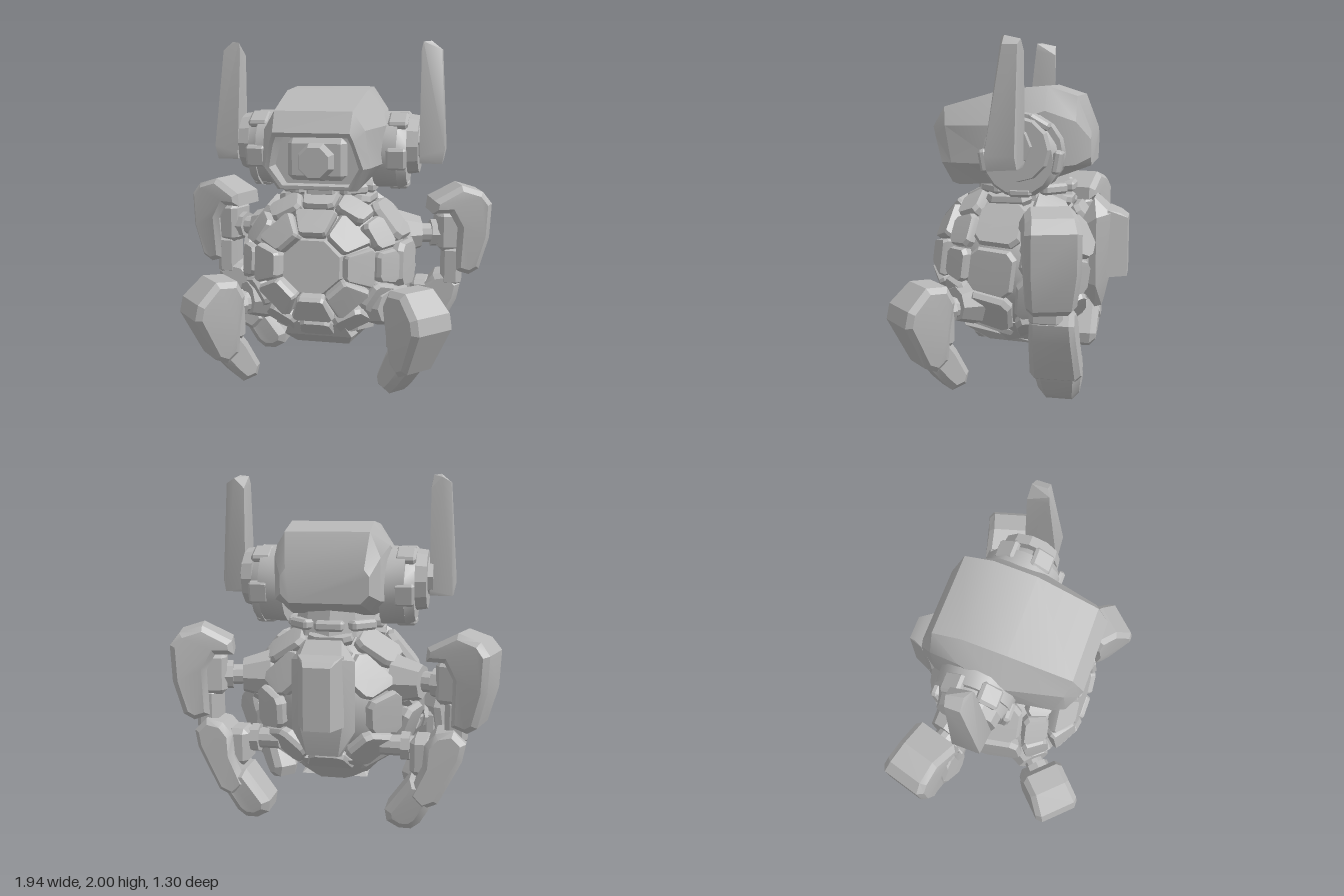
import * as THREE from 'three';
import { toCreasedNormals } from 'three/addons/utils/BufferGeometryUtils.js';
import { ConvexGeometry } from 'three/addons/geometries/ConvexGeometry.js';

const V = (x, y, z) => new THREE.Vector3(x, y, z);
const rad = THREE.MathUtils.degToRad;
const hull = pts => new ConvexGeometry(pts.map(p => V(...p)));

// Box with chamfered ends on every axis
function block(x, y, z, w, h, d, c = 0.015) {
  const pts = [];
  for (const i of [-1, 1]) for (const j of [-1, 1]) for (const k of [-1, 1]) {
    const a = i * w / 2, b = j * h / 2, e = k * d / 2;
    pts.push([x + a - i * c, y + b - j * c, z + e], [x + a, y + b - j * c, z + e - k * c], [x + a - i * c, y + b, z + e - k * c]);
  }
  return hull(pts);
}

// Profile in x,y given thickness along z, with bevelled rims
function plate(profile, depth, bevel) {
  const shape = new THREE.Shape(profile.map(p => new THREE.Vector2(...p)));
  const g = new THREE.ExtrudeGeometry(shape, {
    depth: depth - 2 * bevel, bevelEnabled: true, bevelSize: bevel,
    bevelOffset: -bevel, bevelThickness: bevel, bevelSegments: 1,
  });
  return g.translate(0, 0, bevel - depth / 2);
}

// Narrows a plate in z by height, from [y, scale] stops in rising order
function taper(geo, stops) {
  const p = geo.attributes.position;
  for (let i = 0; i < p.count; i++) {
    const y = p.getY(i);
    const n = Math.max(1, stops.findIndex(s => s[0] >= y));
    const [[y0, s0], [y1, s1]] = [stops[n - 1], stops[n]];
    p.setZ(i, p.getZ(i) * THREE.MathUtils.mapLinear(y, y0, y1, s0, s1));
  }
  return geo;
}

// Cylinder lying along x from x0 to x1
const rod = (x0, x1, y, z, r0, r1, n) =>
  new THREE.CylinderGeometry(r1, r0, x1 - x0, n).rotateZ(-Math.PI / 2).translate((x0 + x1) / 2, y, z);

// Skin through symmetric eight-point sections running back to front
function loft(sections) {
  const rings = sections.map(([z, k, yT, wT, yS, wS, yL, wL, yB, wB]) =>
    [[wB, yB], [wL, yL], [wS, yS], [wT, yT], [-wT, yT], [-wS, yS], [-wL, yL], [-wB, yB]]
      .map(([x, y]) => [x, y, z + k * (y - 1.5)]));
  const pos = [], tri = (...p) => p.forEach(q => pos.push(...q));
  for (let s = 0; s < rings.length - 1; s++) for (let i = 0; i < 8; i++) {
    const j = (i + 1) % 8, a = rings[s], b = rings[s + 1];
    tri(a[i], a[j], b[j]);
    tri(a[i], b[j], b[i]);
  }
  const first = rings[0], last = rings[rings.length - 1];
  for (let i = 1; i < 7; i++) {
    tri(first[0], first[i + 1], first[i]);
    tri(last[0], last[i], last[i + 1]);
  }
  const g = new THREE.BufferGeometry();
  g.setAttribute('position', new THREE.Float32BufferAttribute(pos, 3));
  return g;
}

// Mirror across x = 0, keeping faces outward
function mirrored(geo) {
  const g = geo.clone(), p = g.attributes.position;
  for (let i = 0; i < p.count; i += 3) {
    const [a, b, c] = [0, 1, 2].map(k => V(-p.getX(i + k), p.getY(i + k), p.getZ(i + k)));
    [a, c, b].forEach((v, k) => p.setXYZ(i + k, v.x, v.y, v.z));
  }
  return g;
}

export function createModel() {
  const root = new THREE.Group();
  root.name = 'walkerRobot';
  const grey = new THREE.MeshStandardMaterial({ color: 0xb8b8b8 });
  grey.name = 'grey';

  function add(name, geo, pair = false) {
    const g = geo.index ? geo.toNonIndexed() : geo;
    g.deleteAttribute('uv');
    const put = (n, q) => {
      q.deleteAttribute('normal');
      q.computeVertexNormals();
      const m = new THREE.Mesh(toCreasedNormals(q, 0.4), grey);
      m.name = n;
      root.add(m);
    };
    if (pair) put(name + 'Right', mirrored(g));
    put(name + (pair ? 'Left' : ''), g);
  }

  // Body core and thick armour pads, laid out in rings around the front axis
  const place = g => g.rotateX(rad(-7)).scale(1.02, 0.93, 1).translate(0, 0.7, -0.01);
  const onBall = (a, b, r) => [r * Math.sin(a) * Math.cos(b), r * Math.sin(a) * Math.sin(b), r * Math.cos(a)];
  add('bodyCore', place(new THREE.SphereGeometry(0.465, 24, 16)));
  add('frontPanel', place(new THREE.CylinderGeometry(0.17, 0.185, 0.08, 8)
    .rotateY(Math.PI / 8).rotateX(Math.PI / 2).translate(0, 0, 0.44)));
  const rings = [[22, 42, 8, 0, 0.15, 0.545], [44, 62, 12, 0, 0.3, 0.53], [64, 96, 10, 0, 0.32, 0.525],
    [98, 122, 10, 0.5, 0.32, 0.525], [124, 150, 8, 0, 0.3, 0.525]];
  for (const [a0, a1, n, shift, cut, rad1] of rings) for (let i = 0; i < n; i++) {
    const mid = (i + shift) / n * Math.PI * 2, half = Math.PI / n * 0.95, am = rad((a0 + a1) / 2), ah = rad((a1 - a0) / 2);
    const outline = [[1, 1 - cut], [1 - cut, 1], [cut - 1, 1], [-1, 1 - cut],
      [-1, cut - 1], [cut - 1, -1], [1 - cut, -1], [1, cut - 1]];
    const pts = [];
    for (const [r, k] of [[0.43, 1], [rad1 - 0.025, 1], [rad1, 0.86]])
      for (const [u, v] of outline) pts.push(onBall(am + u * k * ah, mid + v * k * half, r));
    add('bodyPad', place(hull(pts)));
  }

  // Belly cap and curved chin plate
  add('bellyCap', new THREE.CylinderGeometry(0.35, 0.19, 0.16, 8).rotateY(Math.PI / 8).translate(0, 0.29, -0.03));
  add('chinPlate', hull([[-0.16, 0.21, 0.16], [0.16, 0.21, 0.16], [-0.2, 0.3, 0.3], [0.2, 0.3, 0.3],
    [-0.16, 0.39, 0.35], [0.16, 0.39, 0.35], [-0.2, 0.21, -0.16], [0.2, 0.21, -0.16], [0, 0.4, 0.1]]));

  // Back plate and pack
  const mirrorHull = pts => hull(pts.flatMap(([x, y, z]) => [[x, y, z], [-x, y, z]]));
  add('backPlate', mirrorHull([[0.18, 0.98, -0.48], [0.18, 0.58, -0.48], [0.1, 1.09, -0.46], [0.1, 0.43, -0.47],
    [0.12, 1, -0.56], [0.12, 0.62, -0.55], [0.09, 0.44, -0.51], [0.15, 0.9, -0.36], [0.15, 0.6, -0.36]]));
  add('backPack', mirrorHull([[0.075, 0.97, -0.655], [0.075, 0.62, -0.655], [0.09, 1.0, -0.61],
    [0.13, 1.02, -0.54], [0.13, 0.62, -0.54]]));

  // Neck and collar
  add('neck', new THREE.CylinderGeometry(0.22, 0.26, 0.2, 10).translate(0, 1.18, -0.06));
  for (let i = 0; i < 8; i++)
    add('collarPad', block(0, 1.145, 0.25, 0.17, 0.06, 0.08).rotateY(i * Math.PI / 4).translate(0, 0, -0.05));

  // Head shell with a recessed face opening
  add('headShell', loft([
    [-0.45, 0, 1.48, 0.22, 1.44, 0.25, 1.34, 0.25, 1.29, 0.2],
    [-0.37, 0, 1.68, 0.24, 1.54, 0.3, 1.3, 0.3, 1.26, 0.22],
    [-0.2, 0, 1.735, 0.24, 1.6, 0.33, 1.28, 0.34, 1.2, 0.24],
    [0.05, 0, 1.715, 0.24, 1.52, 0.365, 1.3, 0.355, 1.18, 0.24],
    [0.385, 0.2, 1.615, 0.22, 1.51, 0.285, 1.3, 0.31, 1.165, 0.23],
    [0.475, 0.33, 1.5, 0.215, 1.45, 0.235, 1.3, 0.28, 1.175, 0.2],
    [0.47, 0.33, 1.475, 0.2, 1.43, 0.22, 1.3, 0.255, 1.195, 0.19],
    [0.27, 0, 1.475, 0.2, 1.43, 0.22, 1.3, 0.255, 1.195, 0.19],
  ]));
  add('eyeHousing', block(0, 1.34, 0.3, 0.34, 0.24, 0.08, 0.03));
  add('eye', new THREE.CylinderGeometry(0.09, 0.12, 0.09, 8).rotateY(Math.PI / 8).rotateX(Math.PI / 2).translate(0, 1.33, 0.36));

  // Stacked ear discs, rim clips and tall fins
  add('earDisc', rod(0.28, 0.42, 1.365, -0.09, 0.23, 0.225, 16), true);
  add('earRing', rod(0.42, 0.475, 1.34, -0.08, 0.215, 0.19, 16), true);
  add('earHub', rod(0.475, 0.54, 1.4, -0.08, 0.18, 0.17, 12), true);
  add('earMount', rod(0.53, 0.57, 1.42, -0.06, 0.11, 0.1, 8), true);
  for (const angle of [-100, -30, 30, 100, 180])
    add('earClip', block(0, 0.205, 0, 0.12, 0.05, 0.13).rotateX(rad(angle)).translate(0.42, 1.365, -0.085), true);
  add('earFin', hull([[0.55, 1.3, 0.06], [0.68, 1.3, 0.05], [0.695, 1.38, 0.06], [0.55, 1.34, 0.07],
    [0.55, 1.31, -0.12], [0.68, 1.31, -0.11], [0.695, 1.38, -0.1], [0.55, 1.34, -0.13],
    [0.55, 1.92, -0.125], [0.66, 1.95, -0.11], [0.6, 2.0, -0.03], [0.555, 1.995, -0.005],
    [0.61, 1.98, -0.12], [0.66, 1.95, -0.03], [0.545, 1.95, 0.0]]), true);

  // Front legs, splayed forward
  const front = g => g.rotateY(rad(-44)).translate(0, 0, -0.12);
  add('frontLegSocket', front(rod(0.48, 0.6, 0.5, 0, 0.14, 0.1, 8)), true);
  add('frontLegJoint', front(rod(0.55, 0.78, 0.48, 0, 0.06, 0.06, 10)), true);
  add('frontLegCollar', front(rod(0.63, 0.67, 0.48, 0, 0.08, 0.08, 8)), true);
  add('frontLegCover', front(taper(plate([[0.67, 0.55], [0.71, 0.64], [0.84, 0.65], [0.96, 0.54], [0.98, 0.45],
    [0.85, 0.19], [0.77, 0.15], [0.7, 0.21], [0.7, 0.38]], 0.285, 0.03),
  [[0.1, 0.65], [0.4, 1], [0.56, 1], [0.66, 0.85]])), true);
  add('frontLegKnee', front(block(0.71, 0.4, 0, 0.12, 0.24, 0.2, 0.03)), true);
  add('frontFoot', front(plate([[0.71, 0.36], [0.83, 0.32], [0.81, 0.18], [0.72, 0.07], [0.66, 0.01],
    [0.57, 0.03], [0.55, 0.1], [0.63, 0.25]], 0.18, 0.035)), true);

  // Raised arms, splayed slightly backward
  const rear = g => g.rotateY(rad(16)).translate(0, 0, -0.08);
  add('armSocket', rear(rod(0.4, 0.56, 0.83, -0.02, 0.15, 0.1, 8)), true);
  add('armJoint', rear(rod(0.52, 0.78, 0.83, 0, 0.06, 0.06, 10)), true);
  add('armCollar', rear(rod(0.62, 0.67, 0.83, 0, 0.085, 0.085, 8)), true);
  add('armCover', rear(taper(plate([[0.61, 0.97], [0.62, 1.05], [0.79, 1.14], [0.92, 1.1], [0.975, 1.03],
    [0.965, 0.82], [0.91, 0.62], [0.85, 0.58], [0.76, 0.61], [0.77, 0.88], [0.72, 0.97]], 0.29, 0.03),
  [[0.57, 0.75], [0.68, 1], [1.04, 1], [1.15, 0.85]])), true);
  add('armElbow', rear(block(0.73, 0.85, 0, 0.15, 0.25, 0.2, 0.03)), true);
  add('armLink', block(0.73, 0.63, -0.28, 0.13, 0.26, 0.18, 0.03), true);

  // Rear legs reaching down and inward, jointed to the lower body
  add('rearLegJoint', rod(0.3, 0.6, 0.46, -0.29, 0.06, 0.06, 10), true);
  add('rearLegCollar', rod(0.42, 0.47, 0.46, -0.29, 0.085, 0.085, 8), true);
  add('rearLegCover', taper(plate([[0.56, 0.5], [0.62, 0.57], [0.72, 0.59], [0.79, 0.52], [0.77, 0.42],
    [0.64, 0.17], [0.55, 0.13], [0.47, 0.21], [0.55, 0.38]], 0.28, 0.03),
  [[0.1, 1], [0.25, 1], [0.6, 0.8]]).translate(0, 0, -0.31), true);
  add('rearLegKnee', block(0.54, 0.42, -0.3, 0.13, 0.22, 0.19, 0.03), true);
  add('rearFoot', taper(plate([[0.48, 0.3], [0.62, 0.28], [0.61, 0.16], [0.54, 0.04], [0.49, 0],
    [0.42, 0], [0.35, 0.04], [0.34, 0.11]], 0.26, 0.04),
  [[-0.01, 0.8], [0.15, 1], [0.31, 1]]).translate(0, 0, -0.315), true);

  return root;
}
